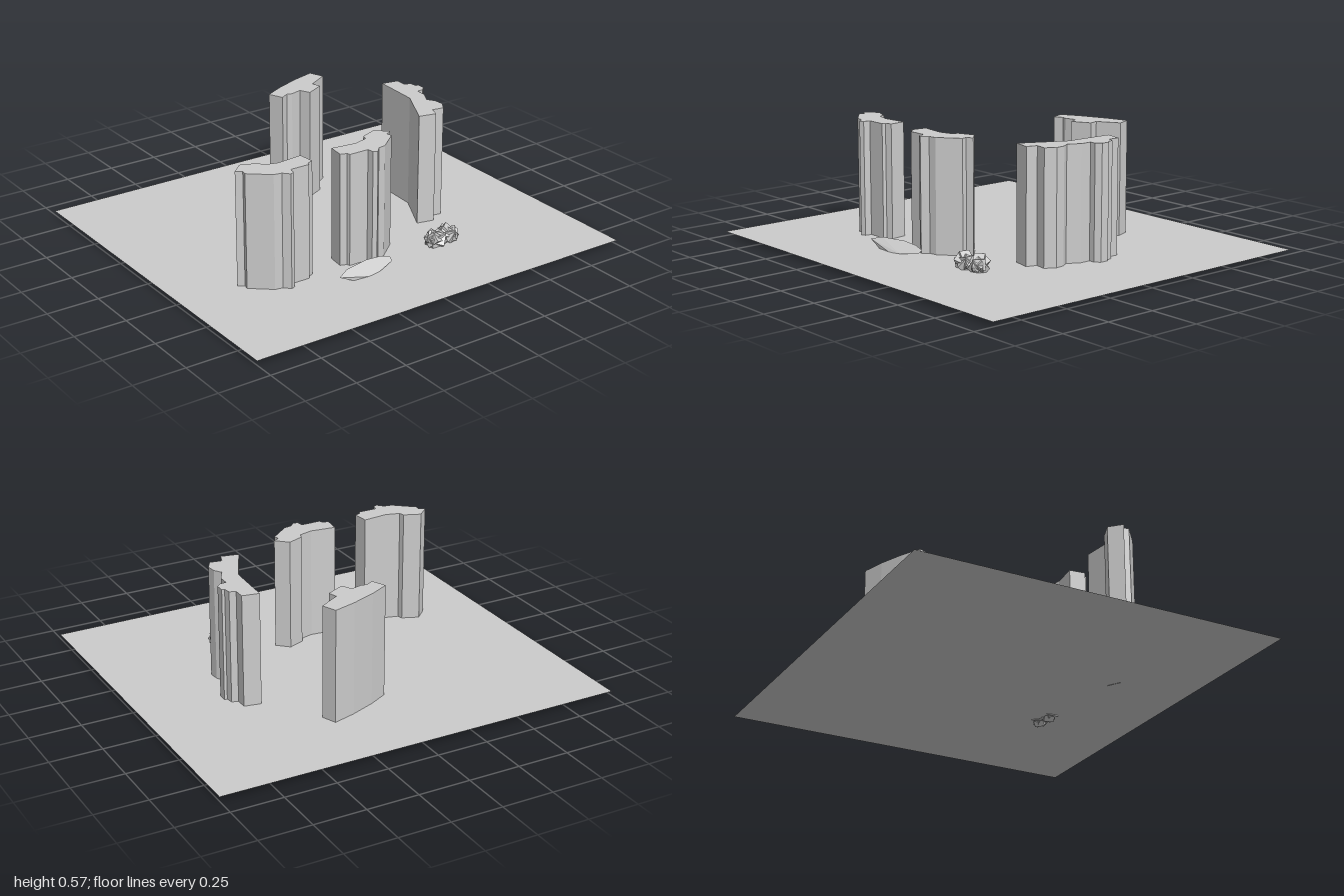
import * as THREE from 'three';
import { ConvexGeometry } from 'three/addons/geometries/ConvexGeometry.js';

const GROUND = 0.025;

export function createModel() {
  const model = new THREE.Group();
  const mat = new THREE.MeshStandardMaterial({ color: 0xcccccc, flatShading: true });
  const thin = new THREE.MeshStandardMaterial({ color: 0xcccccc, side: THREE.DoubleSide });

  const add = (name, geometry, material = mat, parent = model) => {
    const mesh = new THREE.Mesh(geometry, material);
    mesh.name = name;
    parent.add(mesh);
    return mesh;
  };

  // Ground sheet
  const ground = new THREE.PlaneGeometry(2, 1.8);
  ground.rotateX(-Math.PI / 2).translate(0, GROUND, 0);
  add('ground', ground, thin);

  // Towers: floor plans in (x, z) raised straight up
  const tower = (name, plan, top) => {
    const shape = new THREE.Shape(plan.map(([x, z]) => new THREE.Vector2(x, -z)));
    const geo = new THREE.ExtrudeGeometry(shape, { depth: top - GROUND, bevelEnabled: false });
    geo.rotateX(-Math.PI / 2).translate(0, GROUND, 0);
    add(name, geo);
  };

  const wingPlan = [
    [-0.65, 0.23], [-0.57, 0.262], [-0.564, 0.289], [-0.495, 0.308], [-0.372, 0.294],
    [-0.363, 0.374], [-0.393, 0.385], [-0.398, 0.401], [-0.495, 0.401], [-0.5, 0.433],
    [-0.521, 0.442], [-0.548, 0.412], [-0.586, 0.406], [-0.682, 0.326], [-0.676, 0.3], [-0.706, 0.283],
  ];
  tower('frontRightTower', wingPlan, 0.578);
  tower('frontMiddleTower', wingPlan.map(([x, z]) => [-0.576 - x, z]), 0.572);

  tower('rearTower', [
    [-0.065, -0.425], [0.03, -0.475], [0.15, -0.523], [0.262, -0.556], [0.29, -0.485],
    [0.187, -0.425], [0.2, -0.38], [0.11, -0.335], [0.085, -0.385], [0.03, -0.37],
    [0.005, -0.378], [-0.035, -0.355],
  ], 0.572);

  tower('leftTower', [
    [0.468, -0.235], [0.55, -0.22], [0.55, -0.165], [0.58, -0.155], [0.585, -0.12], [0.598, -0.117],
    [0.598, -0.075], [0.575, -0.053], [0.545, -0.053], [0.545, 0], [0.512, 0.06], [0.535, 0.096],
    [0.54, 0.144], [0.51, 0.192], [0.452, 0.182], [0.436, 0.232], [0.35, 0.214], [0.457, 0],
  ], 0.572);

  // Flat faceted stone lying on the ground
  const slab = [
    [-0.325, 0.058, 0.53], [-0.25, 0.024, 0.535], [-0.27, 0.073, 0.505], [-0.225, 0.068, 0.493],
    [-0.14, 0.074, 0.475], [-0.06, 0.067, 0.47], [-0.008, 0.055, 0.475], [-0.008, 0.04, 0.495],
    [-0.1, 0.028, 0.53], [-0.17, 0.024, 0.54], [-0.19, 0.024, 0.5], [-0.05, 0.036, 0.475],
  ];
  add('flatStone', new ConvexGeometry(slab.map((p) => new THREE.Vector3(...p))));

  // Two jagged clumps, each a bundle of tilted blocks
  const clump = (name, x, z, turn) => {
    const group = new THREE.Group();
    group.name = name;
    group.position.set(x, 0.053, z);
    group.rotation.y = turn;
    for (let i = 0; i < 4; i++) {
      const block = add('block' + i, new THREE.BoxGeometry(0.082, 0.058, 0.05), mat, group);
      block.rotation.set(i * 0.78, i * 0.35 - 0.5, i * 0.5 - 0.7);
    }
    model.add(group);
  };
  clump('jaggedStoneRight', 0.277, 0.45, 0.3);
  clump('jaggedStoneLeft', 0.355, 0.437, -0.4);

  return model;
}
